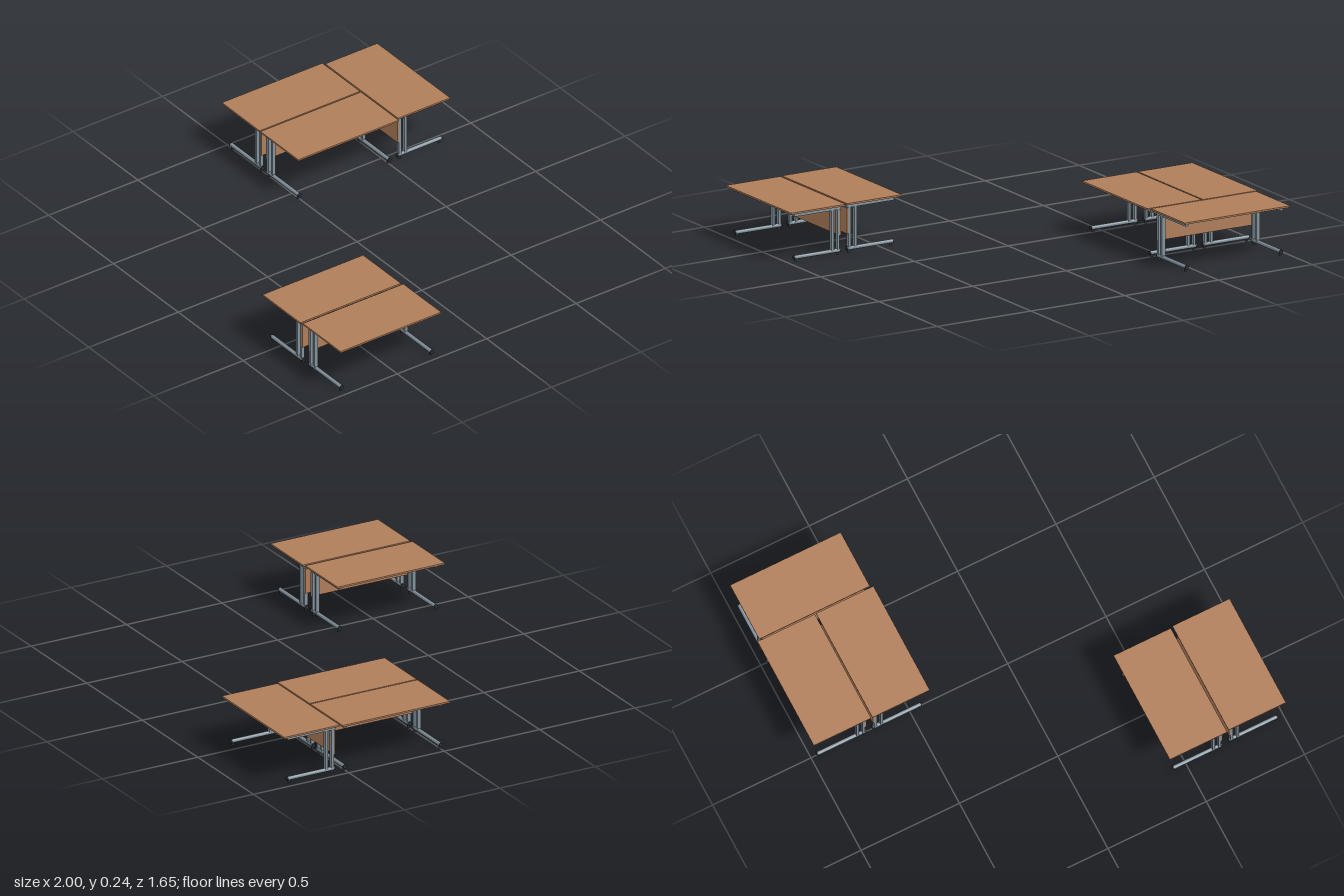
import * as THREE from 'three';

const material = (name, color) => {
  const m = new THREE.MeshStandardMaterial({ color });
  m.name = name;
  return m;
};

export function createModel() {
  const wood = material('wood', 0xb07e5a);
  const steel = material('blue grey steel', 0x84939d);
  const plastic = material('dark plastic', 0x2c3136);

  function add(parent, name, geometry, mat, x, y, z) {
    const mesh = new THREE.Mesh(geometry, mat);
    mesh.name = name;
    mesh.position.set(x, y, z);
    parent.add(mesh);
    return mesh;
  }

  // C-shaped side frame: twin posts near the panel, foot and top rail reaching forward
  function sideFrame(x) {
    const frame = new THREE.Group();
    frame.name = 'sideFrame';
    frame.position.x = x;
    add(frame, 'topRail', new THREE.BoxGeometry(0.018, 0.018, 0.25), steel, 0, 0.222, 0.008);
    for (const z of [0.088, 0.119])
      add(frame, 'post', new THREE.BoxGeometry(0.018, 0.193, 0.012), steel, 0, 0.1195, z);
    const foot = new THREE.CylinderGeometry(0.009, 0.009, 0.24, 14).rotateX(Math.PI / 2);
    add(frame, 'foot', foot, steel, 0, 0.02, 0.008);
    // End caps and levelling feet
    for (const s of [-1, 1]) {
      const cap = new THREE.CylinderGeometry(0.0095, 0.0095, 0.006, 14).rotateX(Math.PI / 2);
      add(frame, 'footCap', cap, plastic, 0, 0.02, 0.008 + s * 0.122);
      add(frame, 'glider', new THREE.CylinderGeometry(0.005, 0.007, 0.012, 12), plastic, 0, 0.006, 0.008 + s * 0.112);
    }
    return frame;
  }

  // Desk with its modesty panel on local +z
  function desk(x, z, turn) {
    const group = new THREE.Group();
    group.name = 'desk';
    add(group, 'tabletop', new THREE.BoxGeometry(0.562, 0.008, 0.291), wood, 0, 0.235, 0);
    add(group, 'modestyPanel', new THREE.BoxGeometry(0.52, 0.12, 0.007), wood, 0, 0.15, 0.129);
    for (const s of [-1, 1]) group.add(sideFrame(s * 0.252));
    group.position.set(x, 0, z);
    group.rotation.y = turn;
    return group;
  }

  const model = new THREE.Group();
  model.name = 'officeDesks';
  const quarter = Math.PI / 2;
  // Cluster of three, then a facing pair
  model.add(
    desk(-0.855, -0.251, quarter),
    desk(-0.557, -0.251, -quarter),
    desk(-0.707, -0.685, 0),
    desk(0.551, 0.541, quarter),
    desk(0.853, 0.535, -quarter)
  );
  return model;
}
